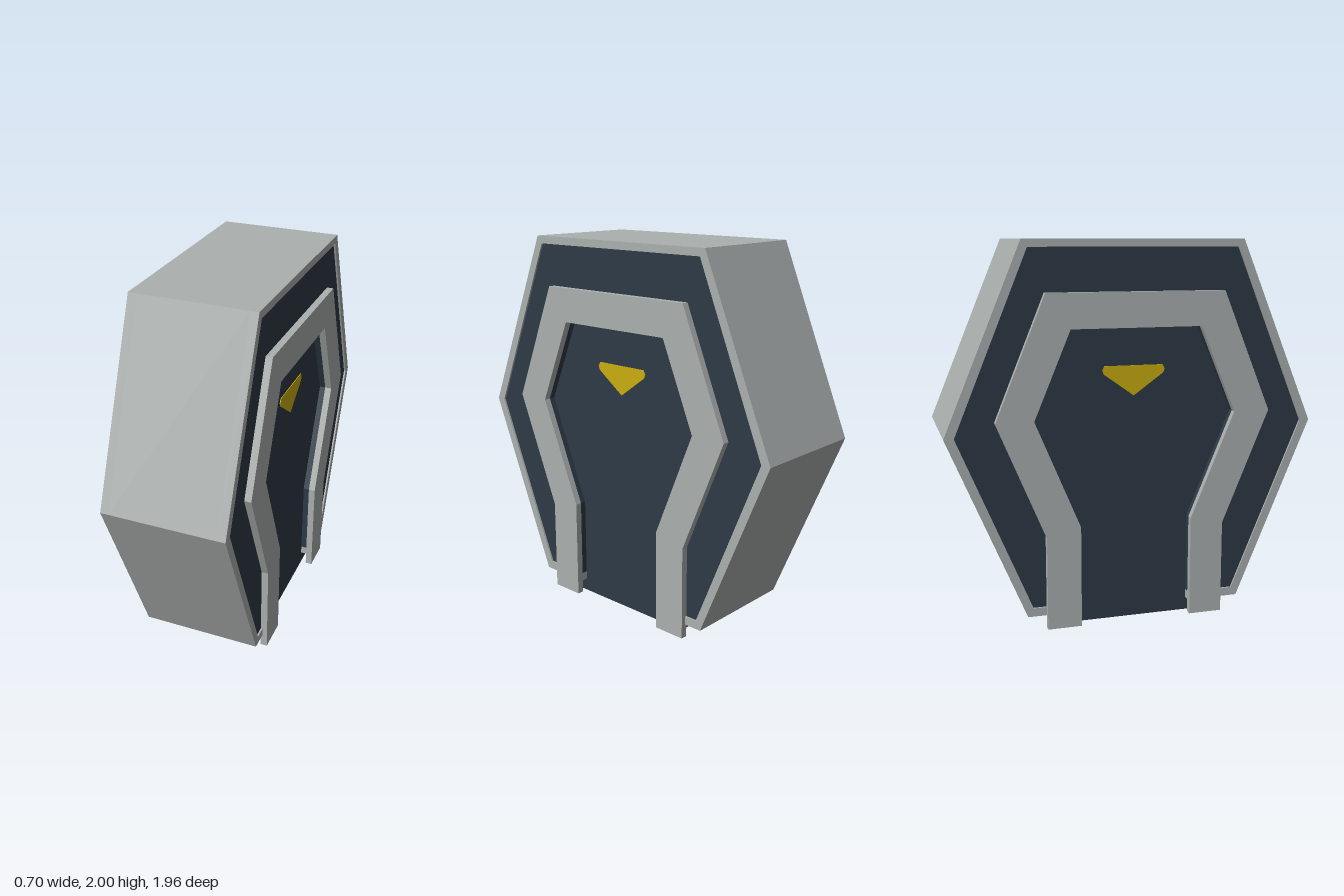
import * as THREE from 'three';

const grey = new THREE.MeshStandardMaterial({ name: 'hullGrey', color: 0xabb0af });
const navy = new THREE.MeshStandardMaterial({ name: 'panelNavy', color: 0x2d3a46 });
const gold = new THREE.MeshStandardMaterial({ name: 'emblemGold', color: 0xc9ad10 });

// Half outlines as [z, y], running from the bottom to the top
const hullHalf = [[0.58, 0.07], [0.982, 1.035], [0.58, 2]];
const panelHalf = [[0.55, 0.115], [0.93, 1.035], [0.55, 1.96]];
const archOuter = [[0.48, 0], [0.48, 0.5], [0.73, 1.105], [0.47, 1.74]];
const archInner = [[0.3, 0], [0.3, 0.54], [0.535, 1.105], [0.345, 1.56]];
const emblemHalf = [[0, 1.205], [0.16, 1.32], [0.167, 1.34], [0.155, 1.362]];

// Mirror a half outline into a full one
const mirror = (half) => [...half, ...half.map(([z, y]) => [-z, y]).reverse()];
// Band between two mirrored outlines, open at the bottom
const band = (outer, inner) => [...mirror(outer), ...mirror(inner).reverse()];
// The arch opening, with its foot moved to height y
const openingFrom = (y) => [[0.3, y], ...archInner.slice(1)];

// Extrude a [z, y] outline sideways from x0 to x1
function plate(name, points, x0, x1, material) {
  const shape = new THREE.Shape(points.map(([z, y]) => new THREE.Vector2(z, y)));
  const geometry = new THREE.ExtrudeGeometry(shape, { depth: x1 - x0, bevelEnabled: false });
  geometry.translate(0, 0, x0);
  geometry.rotateY(Math.PI / 2);
  const mesh = new THREE.Mesh(geometry, material);
  mesh.name = name;
  return mesh;
}

// One decorated side, facing +x
function createSide(name) {
  const side = new THREE.Group();
  side.name = name;
  side.add(
    plate('rim', band([[0.3, 0.07], ...hullHalf], [[0.3, 0.115], ...panelHalf]), 0.278, 0.322, grey),
    plate('sidePanel', band([[0.3, 0.115], ...panelHalf], openingFrom(0.115)), 0.278, 0.312, navy),
    plate('archFrame', band(archOuter, archInner), 0.312, 0.348, grey),
    plate('door', mirror(openingFrom(0.05)), 0.274, 0.28, navy),
    plate('emblem', mirror(emblemHalf).slice(0, -1), 0.28, 0.284, gold),
  );
  return side;
}

export function createModel() {
  const model = new THREE.Group();
  model.name = 'hexagonalPod';

  // Solid core
  model.add(plate('hull', mirror(hullHalf), -0.278, 0.278, grey));

  // Base block under the hull
  const base = new THREE.Mesh(new THREE.BoxGeometry(0.56, 0.12, 0.84), navy);
  base.name = 'base';
  base.position.y = 0.06;
  model.add(base);

  // Both sides alike
  const left = createSide('leftSide');
  const right = createSide('rightSide');
  right.rotation.y = Math.PI;
  model.add(left, right);
  return model;
}
